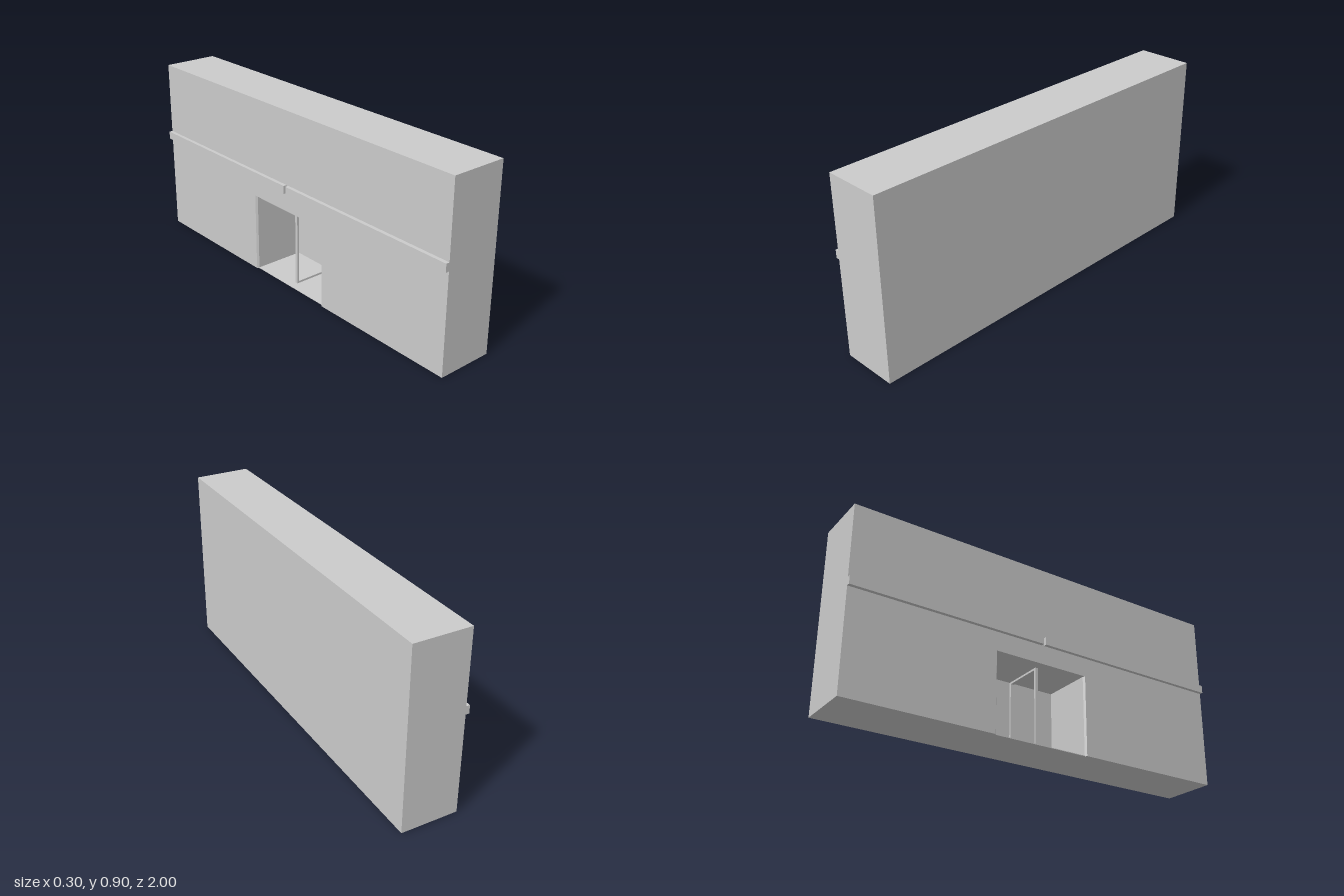
import * as THREE from 'three';

const BACK = 0.149, FACE = -0.131;   // wall faces in x
const DOOR_H = 0.4, Z0 = -0.262, Z1 = 0.238, MID = -0.008;

export function createModel() {
  const group = new THREE.Group();
  const mat = new THREE.MeshStandardMaterial({ color: 0xcccccc, flatShading: true });
  const add = (name, geo) => {
    const mesh = new THREE.Mesh(geo, mat);
    mesh.name = name;
    group.add(mesh);
    return mesh;
  };
  // box given by its two corners
  const box = (name, x0, x1, y0, y1, z0, z1) => {
    const geo = new THREE.BoxGeometry(x1 - x0, y1 - y0, z1 - z0);
    geo.translate((x0 + x1) / 2, (y0 + y1) / 2, (z0 + z1) / 2);
    return add(name, geo);
  };

  // lower wall: plan outline with a deep doorway recess and bevelled jambs
  const inner = 0.136, b = 0.01;
  const plan = new THREE.Shape([
    [BACK, -1], [BACK, 1], [FACE, 1], [FACE, Z1], [FACE + b, Z1 - b * 0.7],
    [inner, Z1 - b * 0.7], [inner, Z0 + b * 0.7], [FACE + b, Z0 + b * 0.7],
    [FACE, Z0], [FACE, -1],
  ].map(([x, z]) => new THREE.Vector2(x, z)));
  const lower = new THREE.ExtrudeGeometry(plan, { depth: DOOR_H, bevelEnabled: false });
  lower.rotateX(Math.PI / 2).translate(0, DOOR_H, 0);
  add('lowerWall', lower);

  // solid wall above the doorway, and the floor of the recess
  box('upperWall', FACE, BACK, DOOR_H, 0.9, -1, 1);
  box('recessFloor', FACE + 0.008, inner, 0, 0.003, Z0 + 0.007, Z1 - 0.007);

  // two ledges with a narrow gap between them
  box('backLedge', -0.149, FACE, 0.495, 0.535, -1, MID - 0.006);
  box('frontLedge', -0.149, FACE, 0.495, 0.535, MID + 0.006, 1);

  // open frame dividing the recess
  const fx = -0.08, t = 0.01, h = 0.0075;
  for (const x of [fx, inner - t]) box('framePost', x, x + t, 0.003, DOOR_H, MID - h, MID + h);
  for (const y of [0.003, DOOR_H - t]) box('frameRail', fx + t, inner - t, y, y + t, MID - h, MID + h);

  return group;
}
